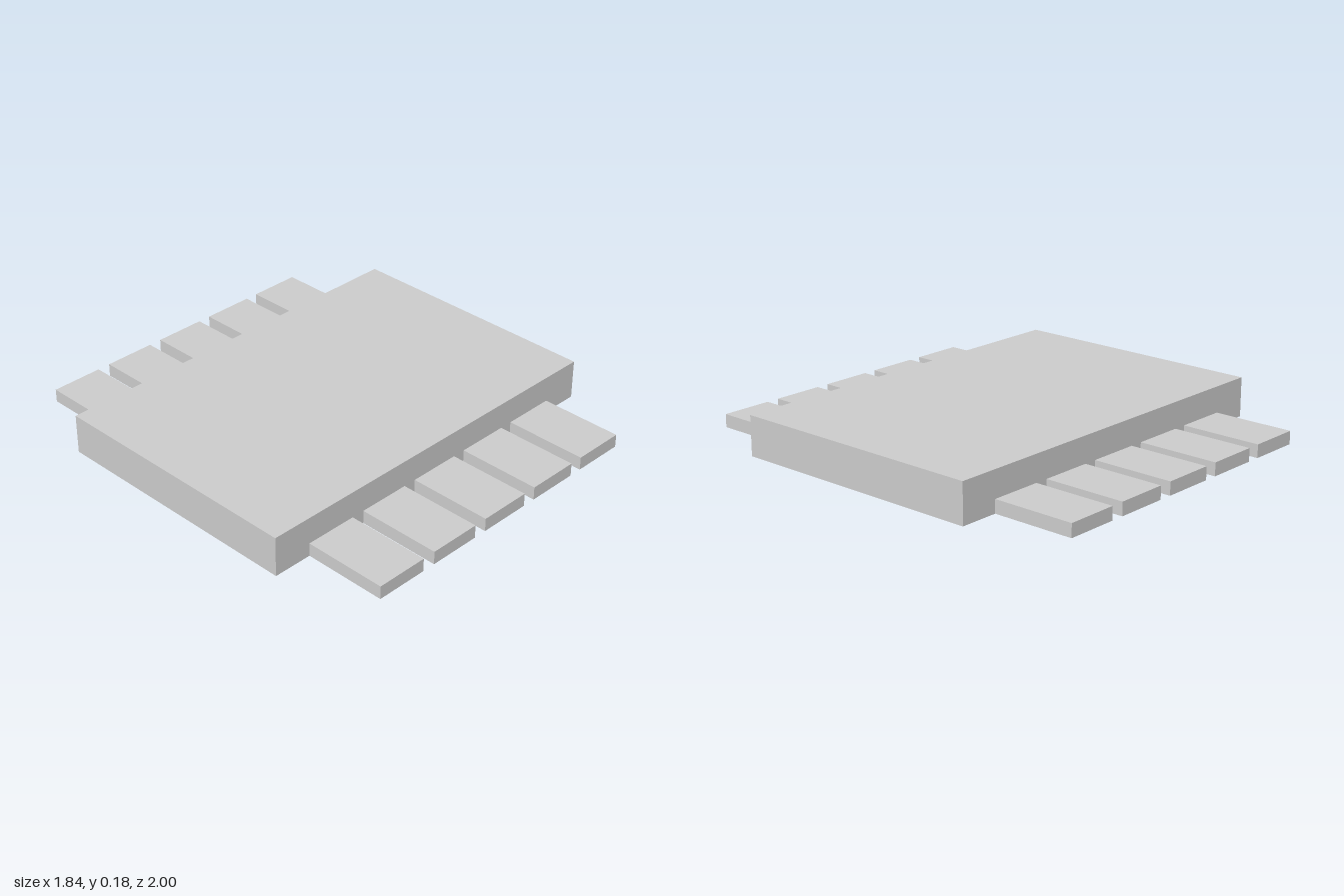
import * as THREE from 'three';

const BODY = { width: 1.84, height: 0.184, depth: 1.226 };
const PAD = { width: 0.245, height: 0.061, pitch: 0.307, count: 5 };
const HALF_LENGTH = 1;

export function createModel() {
  const model = new THREE.Group();
  const material = new THREE.MeshStandardMaterial({ color: 0xcccccc, flatShading: true });

  // Box standing on the ground, centred on x and z
  function addBox(parent, name, width, height, depth, x, z) {
    const mesh = new THREE.Mesh(new THREE.BoxGeometry(width, height, depth), material);
    mesh.name = name;
    mesh.position.set(x, height / 2, z);
    parent.add(mesh);
  }

  // Main slab
  addBox(model, 'body', BODY.width, BODY.height, BODY.depth, 0, 0);

  // Rows of flat tabs along the front and back edges
  const padLength = HALF_LENGTH - BODY.depth / 2;
  for (const side of [1, -1]) {
    const row = new THREE.Group();
    row.name = side > 0 ? 'frontTabs' : 'backTabs';
    for (let i = 0; i < PAD.count; i++) {
      const x = (i - (PAD.count - 1) / 2) * PAD.pitch;
      addBox(row, `tab${i + 1}`, PAD.width, PAD.height, padLength, x, side * (HALF_LENGTH - padLength / 2));
    }
    model.add(row);
  }
  return model;
}
